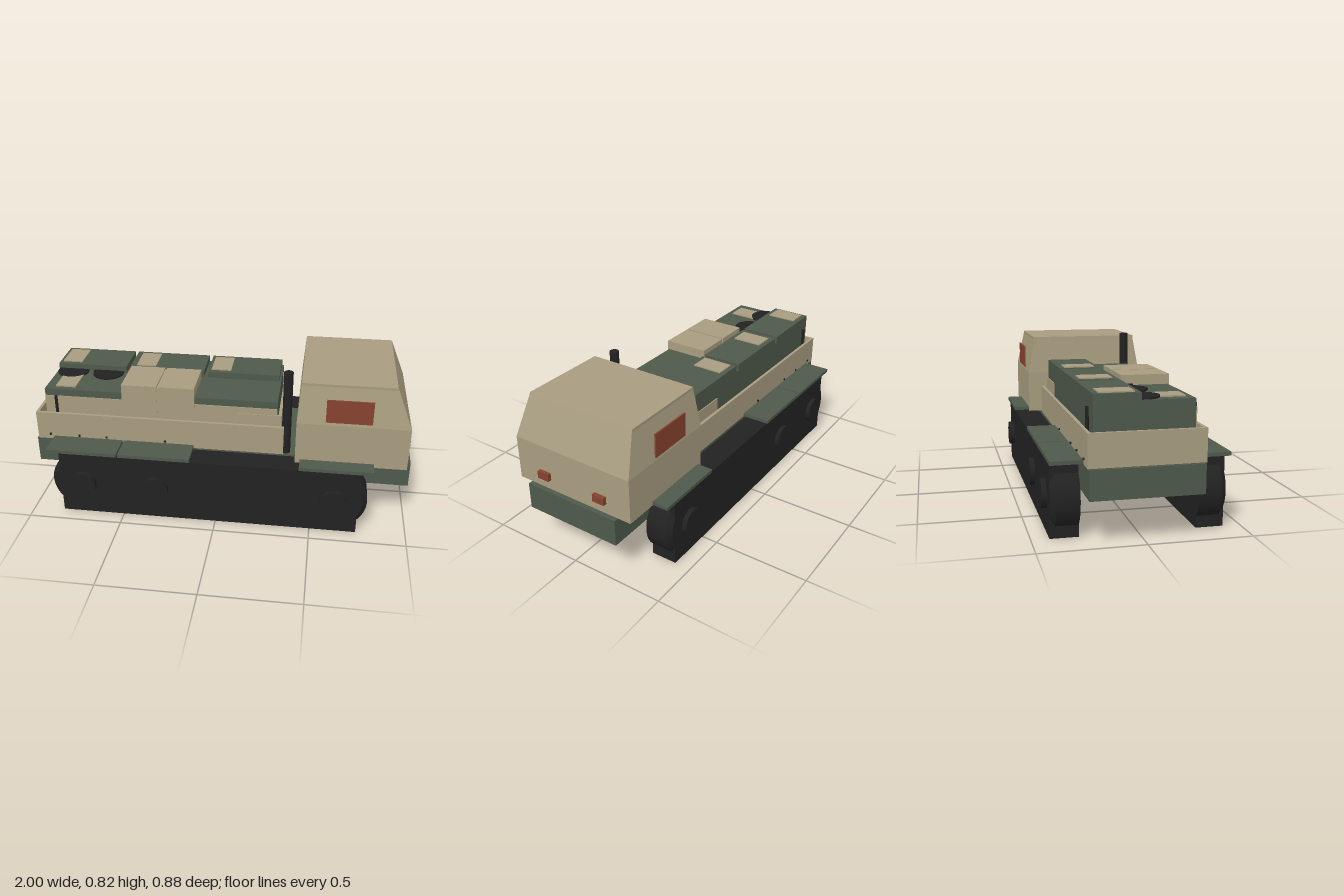
import * as THREE from 'three';

const paint = (name, color) => {
  const m = new THREE.MeshStandardMaterial({ color });
  m.name = name;
  return m;
};

export function createModel() {
  const root = new THREE.Group();
  root.name = 'cargoTruck';
  const tan = paint('sand', 0xa89d80);
  const green = paint('dark olive', 0x4e594b);
  const black = paint('rubber black', 0x222222);
  const red = paint('rust red', 0x87432f);

  const add = (name, geo, mat, parent = root) => {
    const mesh = new THREE.Mesh(geo, mat);
    mesh.name = name;
    parent.add(mesh);
    return mesh;
  };
  // box given by its limits on each axis
  const box = (name, mat, x0, x1, y0, y1, z0, z1) => {
    const mesh = add(name, new THREE.BoxGeometry(x1 - x0, y1 - y0, z1 - z0), mat);
    mesh.position.set((x0 + x1) / 2, (y0 + y1) / 2, (z0 + z1) / 2);
    return mesh;
  };
  const upright = (name, mat, x, z, r, y0, y1, sides = 24) => {
    const mesh = add(name, new THREE.CylinderGeometry(r, r, y1 - y0, sides), mat);
    mesh.position.set(x, (y0 + y1) / 2, z);
    return mesh;
  };

  // chassis: a tray open underneath
  box('chassisDeck', green, -1, 1, 0.34, 0.355, -0.265, 0.265);
  for (const s of [-1, 1]) {
    box('chassisSide', green, -1, 1, 0.215, 0.34, s * 0.26 - 0.005, s * 0.26 + 0.005);
    box('chassisEnd', green, s * 0.995 - 0.005, s * 0.995 + 0.005, 0.215, 0.34, -0.255, 0.255);
  }

  // running gear: belt block, bevelled wheels, hubs and mudguards on both sides
  const wheelProfile = [[0, -0.0675], [0.175, -0.0675], [0.175, 0.0425], [0.15, 0.0675], [0, 0.0675]];
  const wheelGeo = new THREE.LatheGeometry(
    wheelProfile.flatMap(([r, y]) => [new THREE.Vector2(r, y), new THREE.Vector2(r, y)]), 32);
  const hubGeo = new THREE.CylinderGeometry(0.07, 0.07, 0.03, 20);
  for (const s of [-1, 1]) {
    const mid = s * 0.3475;
    box('trackBlock', black, -0.835, 0.742, 0, 0.355, mid - 0.0675, mid + 0.0675);
    for (const x of [-0.71, -0.32, 0.615]) {
      const wheel = add('wheel', wheelGeo, black);
      wheel.position.set(x, 0.18, mid);
      wheel.rotation.x = s * Math.PI / 2;
      const hub = add('hub', hubGeo, black);
      hub.position.set(x, 0.18, s * 0.425);
      hub.rotation.x = Math.PI / 2;
    }
    for (const [a, b] of [[-0.9, -0.522], [-0.514, -0.135], [0.43, 0.808]])
      box('mudguard', green, a, b, 0.358, 0.376, s * 0.342 - 0.08, s * 0.342 + 0.08);
  }

  // cab lofted through four rectangles: y, back x, front x, half width
  const rings = [
    [0.355, 0.405, 0.975, 0.337],
    [0.585, 0.405, 0.975, 0.337],
    [0.782, 0.42, 0.896, 0.303],
    [0.796, 0.421, 0.89, 0.303],
  ].map(([y, a, b, w]) => [[a, y, w], [b, y, w], [b, y, -w], [a, y, -w]]);
  const pos = [];
  const quad = (a, b, c, d) => pos.push(...a, ...b, ...c, ...a, ...c, ...d);
  for (let i = 0; i < 3; i++)
    for (let k = 0; k < 4; k++) {
      const n = (k + 1) % 4;
      quad(rings[i][k], rings[i][n], rings[i + 1][n], rings[i + 1][k]);
    }
  quad(...rings[3]);
  quad(...[...rings[0]].reverse());
  const cabGeo = new THREE.BufferGeometry();
  cabGeo.setAttribute('position', new THREE.Float32BufferAttribute(pos, 3));
  cabGeo.computeVertexNormals();
  add('cab', cabGeo, tan);
  for (const s of [-1, 1]) {
    box('sideWindow', red, 0.55, 0.782, 0.605, 0.729, s * 0.341 - 0.004, s * 0.341 + 0.004);
    box('headlight', red, 0.97, 0.995, 0.41, 0.449, s * 0.168 - 0.033, s * 0.168 + 0.033);
  }
  upright('exhaustPipe', black, 0.352, 0.231, 0.024, 0.355, 0.816);

  // cargo bed with low walls
  box('bedFloor', green, -0.985, 0.34, 0.355, 0.375, -0.26, 0.26);
  for (const s of [-1, 1]) {
    box('bedSide', tan, -0.99, 0.34, 0.358, 0.515, s * 0.263 - 0.008, s * 0.263 + 0.008);
    upright('bedPost', black, -0.876, s * 0.249, 0.008, 0.375, 0.61, 10);
    box('cornerPanel', tan, 0.095, 0.325, 0.375, 0.568, s * 0.235 - 0.005, s * 0.235 + 0.005);
    for (const x of [-0.92, -0.76, -0.61, -0.29])
      box('bedBolt', black, x - 0.005, x + 0.005, 0.382, 0.392, s * 0.273 - 0.004, s * 0.273 + 0.004);
  }
  box('bedTail', tan, -0.99, -0.975, 0.358, 0.515, -0.255, 0.255);
  box('bulkhead', tan, 0.308, 0.325, 0.375, 0.568, -0.23, 0.23);

  // cargo body with a sand panel along its left side
  box('cargoBody', green, -0.94, 0.302, 0.375, 0.64, -0.235, 0.231);
  box('cargoPanel', tan, -0.94, 0.302, 0.375, 0.602, 0.231, 0.236);

  // lids with pale plates, above round hatches
  for (const [a, b, p] of [[-0.94, -0.555, -0.922], [-0.535, -0.122, -0.502], [-0.1, 0.292, -0.083]]) {
    box('lid', green, a, b, 0.64, 0.674, -0.235, -0.018);
    box('lidPlate', tan, p, p + 0.108, 0.674, 0.68, -0.208, -0.045);
  }
  box('hatchPlate', tan, -0.888, -0.78, 0.64, 0.647, 0.04, 0.2);
  for (const x of [-0.85, -0.652, -0.453]) upright('hatch', black, x, 0.003, 0.085, 0.638, 0.648, 32);

  // stowage crates
  box('crateRear', tan, -0.52, -0.332, 0.5, 0.69, -0.005, 0.238);
  box('crateFront', tan, -0.322, -0.133, 0.5, 0.69, -0.005, 0.238);
  box('crateStrap', tan, -0.332, -0.322, 0.5, 0.682, 0, 0.236);

  return root;
}
